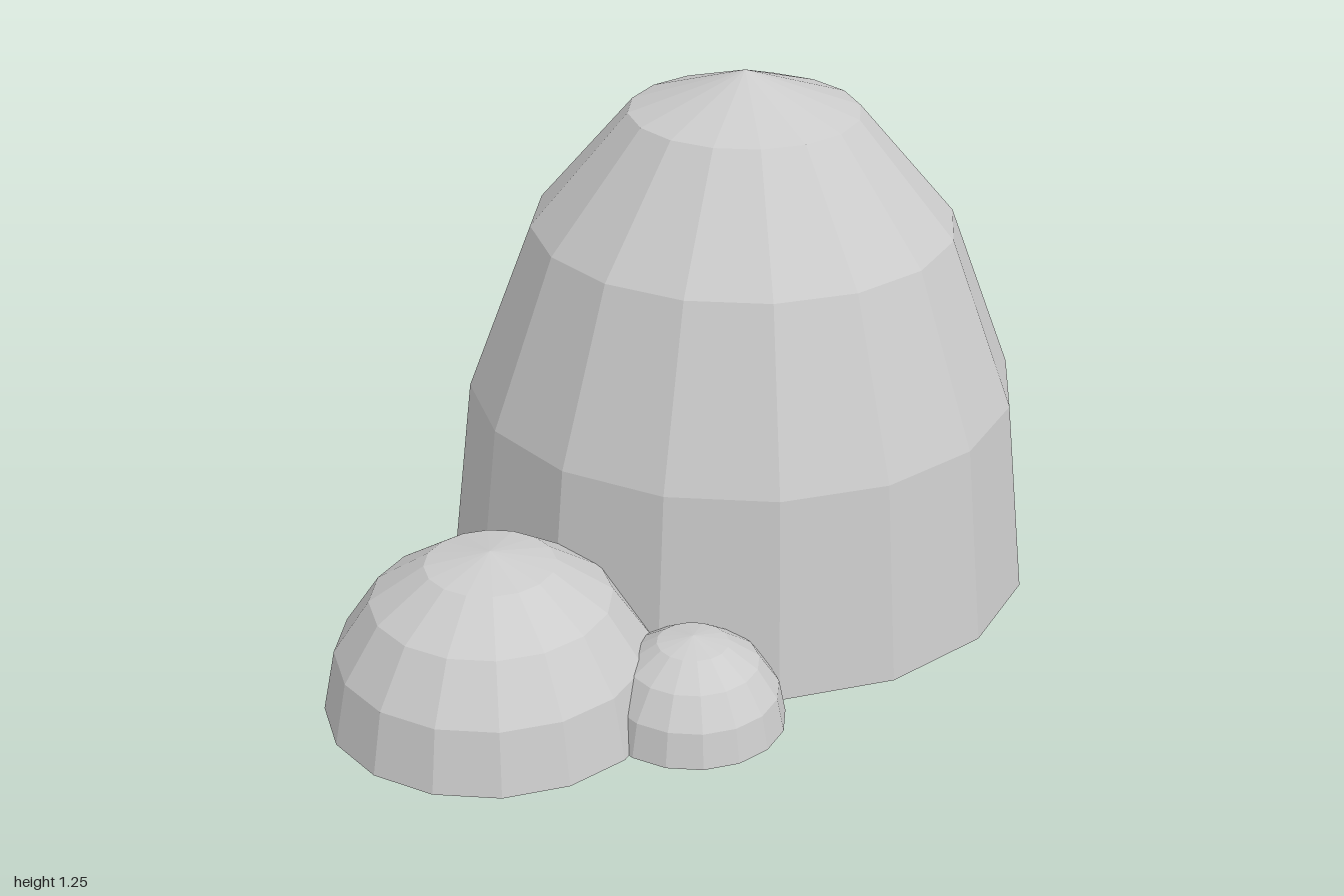
import * as THREE from 'three';

const material = new THREE.MeshStandardMaterial({
  color: 0xcccccc,
  flatShading: true,
  side: THREE.DoubleSide,
});

// Open low-poly half sphere standing on the ground, stretched to a height
function dome(name, radius, height, x, z) {
  const geometry = new THREE.SphereGeometry(1, 16, 4, 0, Math.PI * 2, 0, Math.PI / 2);
  geometry.scale(radius, height, radius);
  const mesh = new THREE.Mesh(geometry, material);
  mesh.name = name;
  mesh.position.set(x, 0, z);
  return mesh;
}

export function createModel() {
  const group = new THREE.Group();
  group.name = 'domeCluster';
  group.add(
    dome('largeDome', 0.714, 1.255, 0.286, 0),
    dome('mediumDome', 0.383, 0.383, -0.617, 0),
    dome('smallDome', 0.21, 0.21, -0.39, 0.39),
  );
  return group;
}
